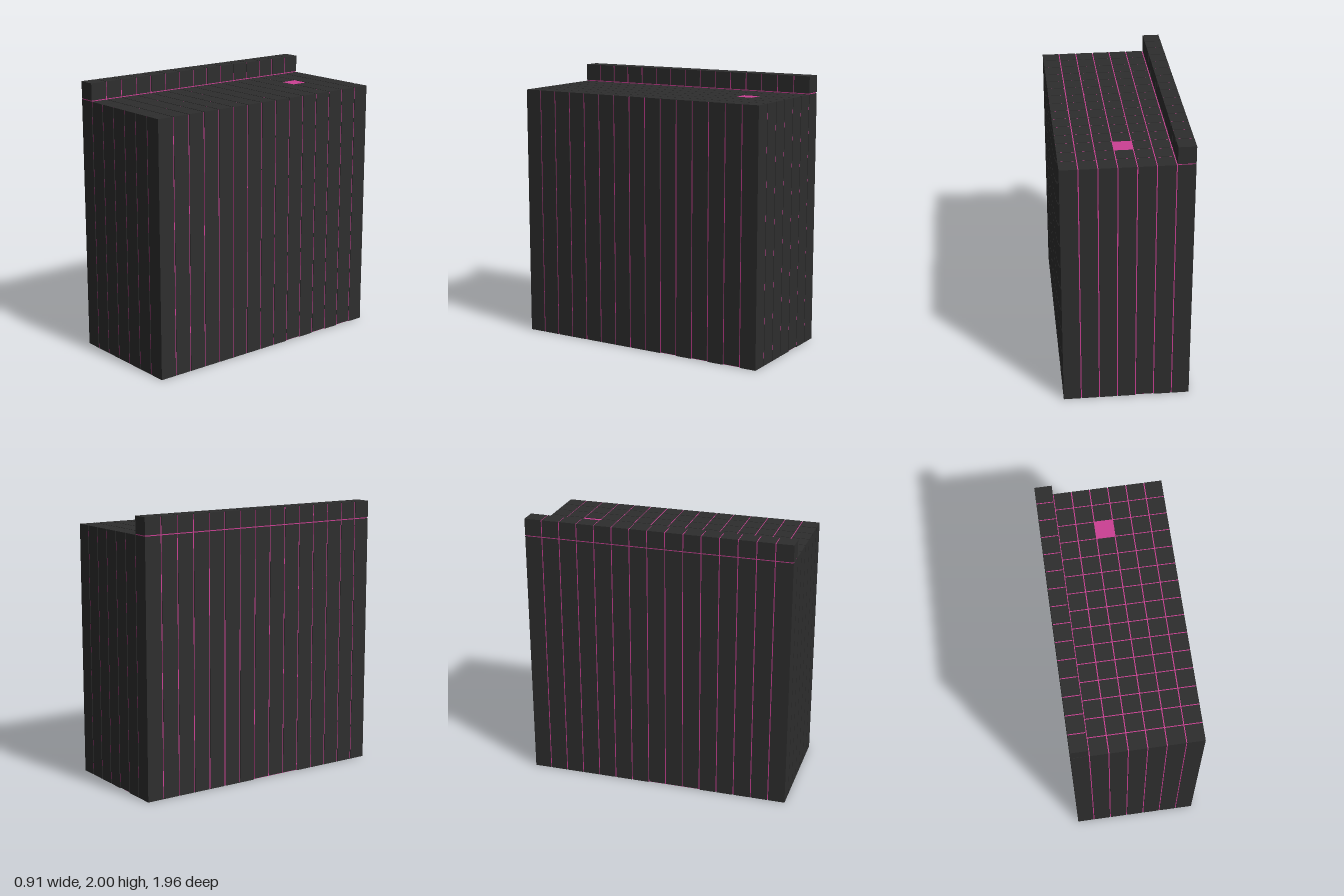
import * as THREE from 'three';

const NX = 7, NZ = 15;            // grid of columns
const P = 0.1313, W = 0.124;      // spacing and column width
const H = 1.869, TOP = 2;         // block height, ridge height
const INSET = 0.003;              // depth of the core behind the column faces

// Underside: '#' marks columns that stop at the core.
// Rows run from the back to the front, characters from +x to -x.
const UNDERSIDE = [
  '....#..',
  '##.##..',
  '.#.##..',
  '##.##..',
  '.#.##..',
  '##.##..',
  '.####..',
  '.####.#',
  '.....##',
  '.######',
  '.####..',
];

export function createModel() {
  const dark = new THREE.MeshStandardMaterial({ color: 0x2e2e2e });
  dark.name = 'charcoal';
  const pink = new THREE.MeshStandardMaterial({ color: 0xcc4094 });
  pink.name = 'magenta';
  const model = new THREE.Group();
  model.name = 'columnBlock';

  // Box given by its centre in x and z and its bottom and top
  const addBox = (parent, name, material, w, d, x, z, y0, y1) => {
    const mesh = new THREE.Mesh(new THREE.BoxGeometry(w, y1 - y0, d), material);
    mesh.position.set(x, (y0 + y1) / 2, z);
    mesh.name = name;
    parent.add(mesh);
  };
  const xAt = i => (i - (NX - 1) / 2) * P;
  const zAt = k => (k - (NZ - 1) / 2) * P;

  // Magenta core filling the joints
  const coreW = (NX - 1) * P + W - 2 * INSET;
  const coreD = (NZ - 1) * P + W - 2 * INSET;
  addBox(model, 'core', pink, coreW, coreD, 0, 0, INSET, H - INSET);
  addBox(model, 'ridgeCore', pink, W - 2 * INSET, coreD, xAt(0), 0, H - 0.01, TOP - INSET);

  // Dark columns, and the raised row along the -x edge
  const columns = new THREE.Group();
  columns.name = 'columns';
  const ridge = new THREE.Group();
  ridge.name = 'ridge';
  model.add(columns, ridge);
  for (let k = 0; k < NZ; k++) {
    for (let i = 0; i < NX; i++) {
      const openBelow = UNDERSIDE[k]?.[NX - 1 - i] === '#';
      const openAbove = i === 3 && k === 2;
      addBox(columns, 'column', dark, W, W, xAt(i), zAt(k),
        openBelow ? 0.006 : 0, openAbove ? H - 0.006 : H);
    }
    addBox(ridge, 'ridgeBlock', dark, W, W, xAt(0), zAt(k), TOP - W, TOP);
  }
  return model;
}
